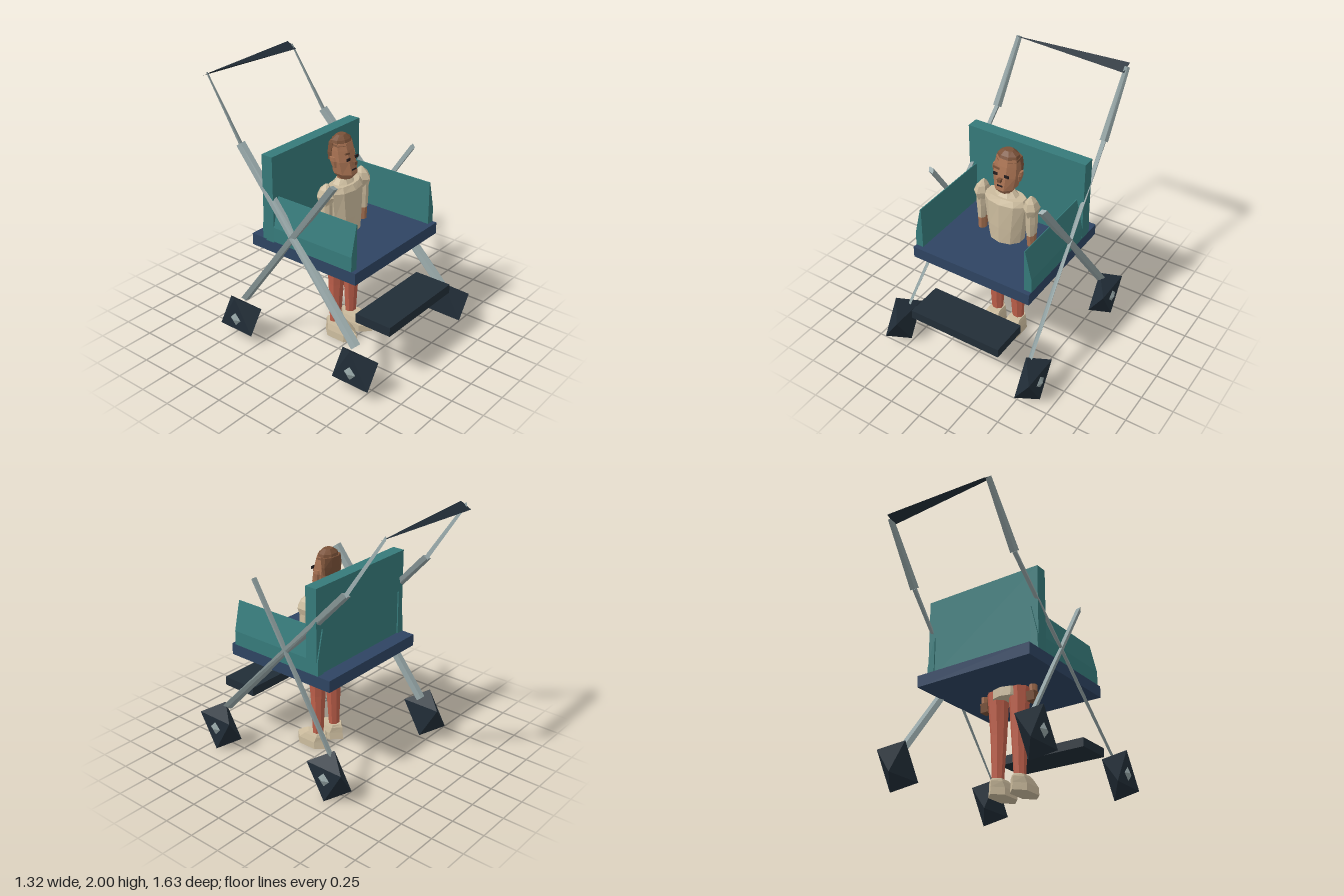
import * as THREE from 'three';
import { ConvexGeometry } from 'three/addons/geometries/ConvexGeometry.js';

const V = (x, y, z) => new THREE.Vector3(x, y, z);

function makeMaterials() {
  const colours = {
    teal: 0x367a7a, navy: 0x2e4462, charcoal: 0x212d37, metal: 0x92a2a3, skin: 0xa87252,
    hair: 0x7a5138, cloth: 0xcbbb9d, trousers: 0xbf604b, ink: 0x241d1e,
  };
  const mats = {};
  for (const [name, color] of Object.entries(colours)) {
    mats[name] = new THREE.MeshStandardMaterial({ color });
    mats[name].name = name;
  }
  return mats;
}

// Faceted solid through rings [y, centre x, half width, centre z, half depth]
function loft(rings, n = 8) {
  const pos = [], idx = [], k = 1 / Math.cos(Math.PI / n);
  for (const [y, cx, hx, cz, hz] of rings) {
    for (let i = 0; i < n; i++) {
      const a = ((i + 0.5) / n) * Math.PI * 2;
      pos.push(cx + Math.cos(a) * hx * k, y, cz + Math.sin(a) * hz * k);
    }
  }
  const last = rings.length - 1;
  for (let r = 0; r < last; r++) {
    for (let i = 0; i < n; i++) {
      const a = r * n + i, b = r * n + (i + 1) % n;
      idx.push(a, a + n, b, b, a + n, b + n);
    }
  }
  for (let i = 1; i < n - 1; i++) {
    idx.push(0, i, i + 1, last * n, last * n + i + 1, last * n + i);
  }
  const g = new THREE.BufferGeometry();
  g.setAttribute('position', new THREE.Float32BufferAttribute(pos, 3));
  g.setIndex(idx);
  const flat = g.toNonIndexed();
  flat.computeVertexNormals();
  return flat;
}

// Diamond-section bar; each end has [half width, half thickness], width lies along "lean"
function strut(p, q, lean, endP, endQ) {
  const d = q.clone().sub(p).normalize();
  const u = lean.clone().addScaledVector(d, -lean.dot(d)).normalize();
  const w = d.clone().cross(u);
  const pts = [];
  for (const [c, [a, b]] of [[p, endP], [q, endQ]]) {
    for (const s of [-1, 1]) {
      pts.push(c.clone().addScaledVector(u, s * a), c.clone().addScaledVector(w, s * b));
    }
  }
  return new ConvexGeometry(pts);
}

export function createModel() {
  const m = makeMaterials();
  const model = new THREE.Group();
  model.name = 'pushchairWithFigure';
  const chair = new THREE.Group();
  chair.name = 'pushchair';
  const figure = new THREE.Group();
  figure.name = 'figure';
  model.add(chair, figure);

  const add = (parent, name, geometry, material) => {
    const mesh = new THREE.Mesh(geometry, material);
    mesh.name = name;
    parent.add(mesh);
    return mesh;
  };
  // Box given by its limits
  const box = (parent, name, mat, x0, x1, y0, y1, z0, z1) => {
    const mesh = add(parent, name, new THREE.BoxGeometry(x1 - x0, y1 - y0, z1 - z0), mat);
    mesh.position.set((x0 + x1) / 2, (y0 + y1) / 2, (z0 + z1) / 2);
    return mesh;
  };

  // Seat, backrest and footrest
  box(chair, 'seat', m.navy, -0.49, 0.49, 0.78, 0.87, -0.355, 0.585);
  box(chair, 'backrest', m.teal, -0.49, 0.49, 0.86, 1.52, -0.24, -0.145);
  box(chair, 'footrest', m.charcoal, -0.375, 0.375, 0.4, 0.47, 0.505, 0.8);

  // Push handle: its two end edges lie on opposite diagonals
  add(chair, 'handle', new ConvexGeometry([
    V(-0.45, 2, -0.73), V(-0.45, 1.955, -0.815),
    V(0.45, 1.955, -0.73), V(0.45, 2, -0.815),
  ]), m.charcoal);

  for (const s of [-1, 1]) {
    const side = s > 0 ? 'left' : 'right';

    // Side panel leaning inwards at the top
    const panel = [];
    for (const z of [-0.25, 0.55]) {
      for (const [x, y] of [[0.43, 0.855], [0.49, 0.855], [0.488, 0.98], [0.435, 1.205], [0.428, 1.205]]) {
        panel.push(V(s * x, y, z));
      }
    }
    add(chair, side + 'SidePanel', new ConvexGeometry(panel), m.teal);

    // Crossed frame bars and handle bar
    const diagonal = V(0.7, 0.48, 0.51);
    add(chair, side + 'FrontBar', strut(V(s * 0.455, 1.53, -0.47), V(s * 0.535, 0.33, 0.63),
      diagonal, [0.034, 0.018], [0.036, 0.006]), m.metal);
    add(chair, side + 'RearBar', strut(V(s * 0.455, 1.43, 0.37), V(s * 0.54, 0.32, -0.41),
      V(s * 0.8, 0.35, -0.5), [0.034, 0.02], [0.034, 0.018]), m.metal);
    add(chair, side + 'HandleBar', strut(V(s * 0.455, 1.53, -0.47), V(s * 0.45, 1.985, -0.775),
      V(0.7, -0.4, -0.6), [0.034, 0.014], [0.022, 0.006]), m.metal);

    // Faceted wheels: two opposed triangles make a hexagon from the side
    for (const [end, z] of [['Front', 0.66], ['Rear', -0.425]]) {
      const pts = [];
      for (let i = 0; i < 6; i++) {
        const a = (i * Math.PI) / 3;
        const x = s * 0.58 + (i % 2 ? 0.06 : -0.06);
        pts.push(V(x, 0.18 + 0.18 * Math.cos(a), z + 0.18 * Math.sin(a)));
      }
      add(chair, side + end + 'Wheel', new ConvexGeometry(pts), m.charcoal);
      const hub = add(chair, side + end + 'Hub', new THREE.OctahedronGeometry(1), m.metal);
      hub.scale.set(0.028, 0.075, 0.07);
      hub.position.set(s * 0.632, 0.18, z);
    }

    // Arm with shoulder cap, sleeve, forearm, cuff and hand
    const ax = s * 0.21;
    add(figure, side + 'Shoulder', loft([
      [1.14, ax, 0.035, 0.1, 0.05], [1.2, ax, 0.05, 0.1, 0.065],
      [1.25, s * 0.205, 0.035, 0.1, 0.045], [1.29, s * 0.2, 0.008, 0.1, 0.01],
    ], 6), m.cloth);
    add(figure, side + 'Sleeve', loft([
      [0.97, ax, 0.033, 0.1, 0.045], [1.08, ax, 0.04, 0.1, 0.05], [1.17, ax, 0.038, 0.1, 0.05],
    ]), m.cloth);
    add(figure, side + 'Forearm', loft([
      [0.73, s * 0.215, 0.025, 0.1, 0.03], [0.98, ax, 0.034, 0.1, 0.042],
    ]), m.skin);
    add(figure, side + 'Hand', loft([
      [0.66, s * 0.205, 0.033, 0.11, 0.035], [0.73, s * 0.205, 0.033, 0.105, 0.038],
    ], 4), m.hair);

    // Leg and shoe
    add(figure, side + 'Leg', loft([
      [0.1, s * 0.095, 0.042, 0.095, 0.037], [0.45, s * 0.09, 0.058, 0.1, 0.055],
      [0.8, s * 0.095, 0.078, 0.1, 0.078],
    ]), m.trousers);
    add(figure, side + 'Shoe', loft([
      [0, s * 0.093, 0.072, 0.152, 0.133], [0.055, s * 0.093, 0.07, 0.155, 0.128],
      [0.1, s * 0.093, 0.058, 0.125, 0.1], [0.122, s * 0.093, 0.05, 0.11, 0.075],
    ], 6), m.cloth);

    // Ear and eye
    add(figure, side + 'Ear', loft([
      [1.38, s * 0.1, 0.008, 0.09, 0.015], [1.43, s * 0.108, 0.012, 0.085, 0.026],
      [1.46, s * 0.112, 0.008, 0.08, 0.02],
    ], 6), m.skin);
    box(figure, side + 'Eye', m.ink, s * 0.046 - 0.017, s * 0.046 + 0.017, 1.432, 1.452, 0.17, 0.179);
  }

  // Tunic and neck
  add(figure, 'tunic', loft([
    [0.71, 0, 0.122, 0.1, 0.108], [0.86, 0, 0.13, 0.1, 0.105], [1.0, 0, 0.148, 0.1, 0.105],
    [1.2, 0, 0.172, 0.1, 0.1], [1.24, 0, 0.15, 0.1, 0.075],
  ], 10), m.cloth);
  add(figure, 'collar', loft([[1.23, 0, 0.1, 0.095, 0.07], [1.275, 0, 0.05, 0.09, 0.04]]), m.cloth);
  add(figure, 'neck', loft([[1.24, 0, 0.045, 0.09, 0.04], [1.34, 0, 0.045, 0.09, 0.045]]), m.skin);

  // Head and hair
  add(figure, 'head', loft([
    [1.28, 0, 0.045, 0.12, 0.04], [1.325, 0, 0.08, 0.107, 0.088], [1.42, 0, 0.092, 0.095, 0.081],
    [1.5, 0, 0.088, 0.08, 0.075], [1.55, 0, 0.082, 0.073, 0.066],
  ]), m.skin);
  add(figure, 'hairTop', loft([
    [1.53, 0, 0.087, 0.074, 0.071], [1.57, 0, 0.075, 0.07, 0.056], [1.6, 0, 0.035, 0.07, 0.03],
  ]), m.hair);
  add(figure, 'hairBack', loft([
    [1.42, 0, 0.086, 0.035, 0.028], [1.48, 0, 0.094, 0.038, 0.036], [1.55, 0, 0.086, 0.045, 0.045],
  ]), m.hair);

  // Face details
  box(figure, 'eyebrow', m.hair, -0.07, -0.02, 1.477, 1.49, 0.158, 0.167).rotation.z = -0.15;
  box(figure, 'nose', m.hair, -0.014, 0.014, 1.395, 1.42, 0.17, 0.205);
  box(figure, 'mouth', m.ink, -0.022, 0.022, 1.355, 1.365, 0.184, 0.193);

  return model;
}
